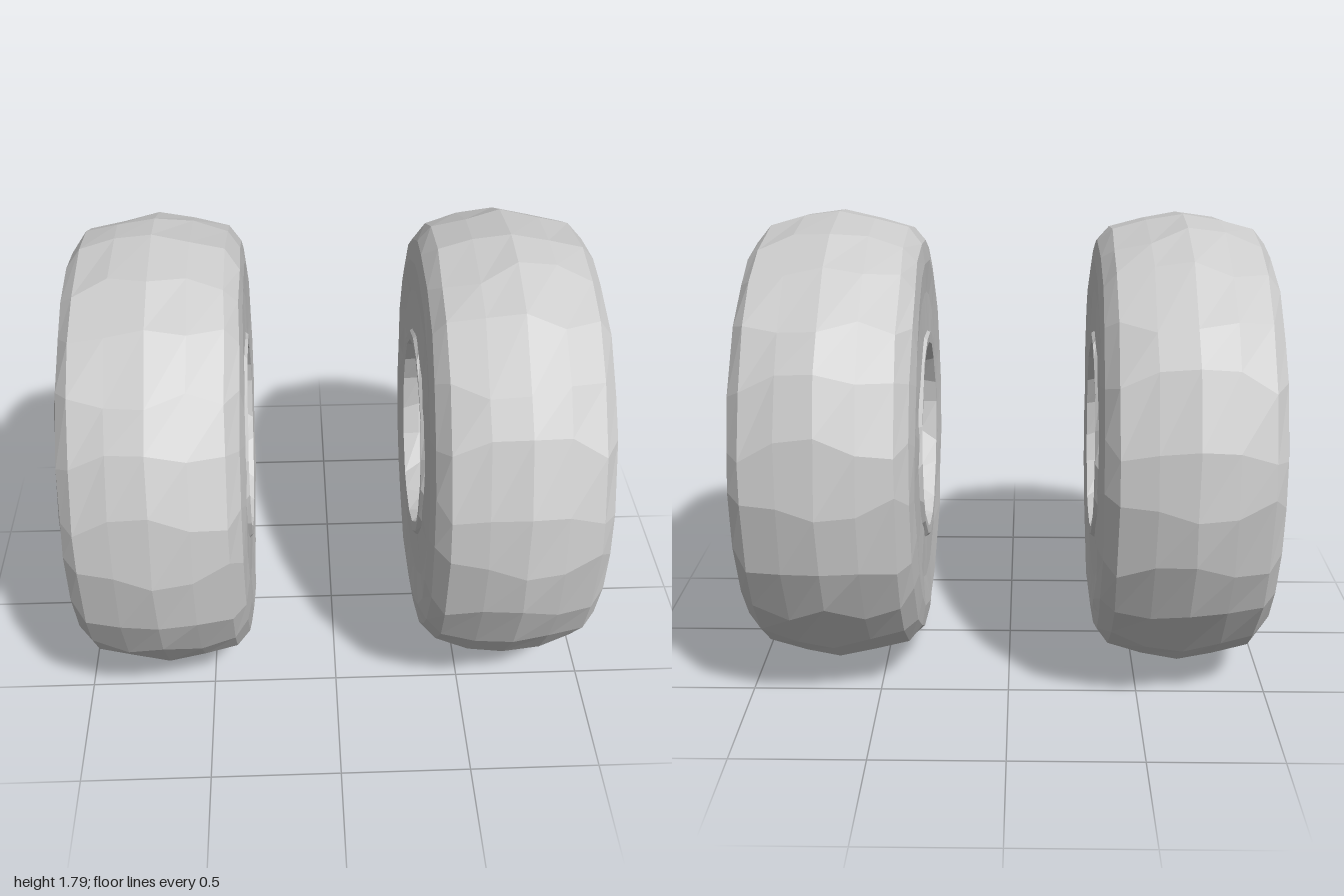
import * as THREE from 'three';

const RADIUS = 0.9, WHEEL_X = 0.662;

// Repeatable value in -0.5..0.5 from a position, so seam vertices move together
function noise(x, y, z) {
  const k = (v) => Math.round(v * 1000);
  const s = Math.sin(k(x) * 12.9898 + k(y) * 78.233 + k(z) * 37.719) * 43758.5453;
  return s - Math.floor(s) - 0.5;
}

// Turned part about the x axis, given [radius, offset along the axle], with uneven facets
function turned(name, profile, sides, rough, material) {
  const geo = new THREE.LatheGeometry(profile.map(([r, a]) => new THREE.Vector2(r, a)), sides);
  const pos = geo.attributes.position;
  const step = (Math.PI * 2) / sides;
  for (let i = 0; i < pos.count; i++) {
    const x = pos.getX(i), y = pos.getY(i), z = pos.getZ(i);
    const r = Math.hypot(x, z);
    if (r < 0.01) continue;
    const n = noise(x, y, z);
    const angle = Math.atan2(x, z) + n * step * 0.45;
    const r2 = Math.min(RADIUS, r + noise(z, x, y) * rough);
    pos.setXYZ(i, Math.sin(angle) * r2, y + noise(y, z, x) * rough * 0.5, Math.cos(angle) * r2);
  }
  geo.rotateZ(-Math.PI / 2);
  geo.computeVertexNormals();
  const mesh = new THREE.Mesh(geo, material);
  mesh.name = name;
  return mesh;
}

function createWheel(name, material) {
  const wheel = new THREE.Group();
  wheel.name = name;

  // Tyre: flat sidewalls, rounded shoulders and a low crown
  const half = [[0.41, 0.325], [0.58, 0.322], [0.7, 0.333], [0.78, 0.32], [0.84, 0.27], [0.875, 0.14]];
  const tyre = [
    ...half.map(([r, a]) => [r, -a]),
    [RADIUS, 0],
    ...half.slice().reverse(),
  ];
  wheel.add(turned('tyre', tyre, 24, 0.012, material));

  // Inner rim: raised lip, recessed wall and flat backing disc
  wheel.add(turned('innerRim', [
    [0, -0.07], [0.34, -0.07], [0.345, -0.17], [0.36, -0.27],
    [0.375, -0.335], [0.41, -0.337], [0.43, -0.315],
  ], 18, 0.005, material));

  // Outer rim: raised lip and bowl
  wheel.add(turned('outerRim', [
    [0.43, 0.315], [0.415, 0.337], [0.38, 0.337], [0.362, 0.29],
    [0.345, 0.2], [0.31, 0.11], [0.2, 0.06], [0, 0.05],
  ], 18, 0.006, material));

  // Domed hub cap in the bowl
  wheel.add(turned('hubCap', [
    [0.235, 0.06], [0.243, 0.13], [0.205, 0.2], [0.135, 0.245], [0, 0.26],
  ], 12, 0.01, material));
  return wheel;
}

export function createModel() {
  const model = new THREE.Group();
  model.name = 'wheelPair';
  const material = new THREE.MeshStandardMaterial({ color: 0xcccccc, flatShading: true });

  // Hub caps face outward on both sides
  for (const side of [1, -1]) {
    const wheel = createWheel(side > 0 ? 'leftWheel' : 'rightWheel', material);
    wheel.position.set(side * WHEEL_X, RADIUS, 0);
    if (side < 0) wheel.rotation.y = Math.PI;
    model.add(wheel);
  }
  return model;
}
